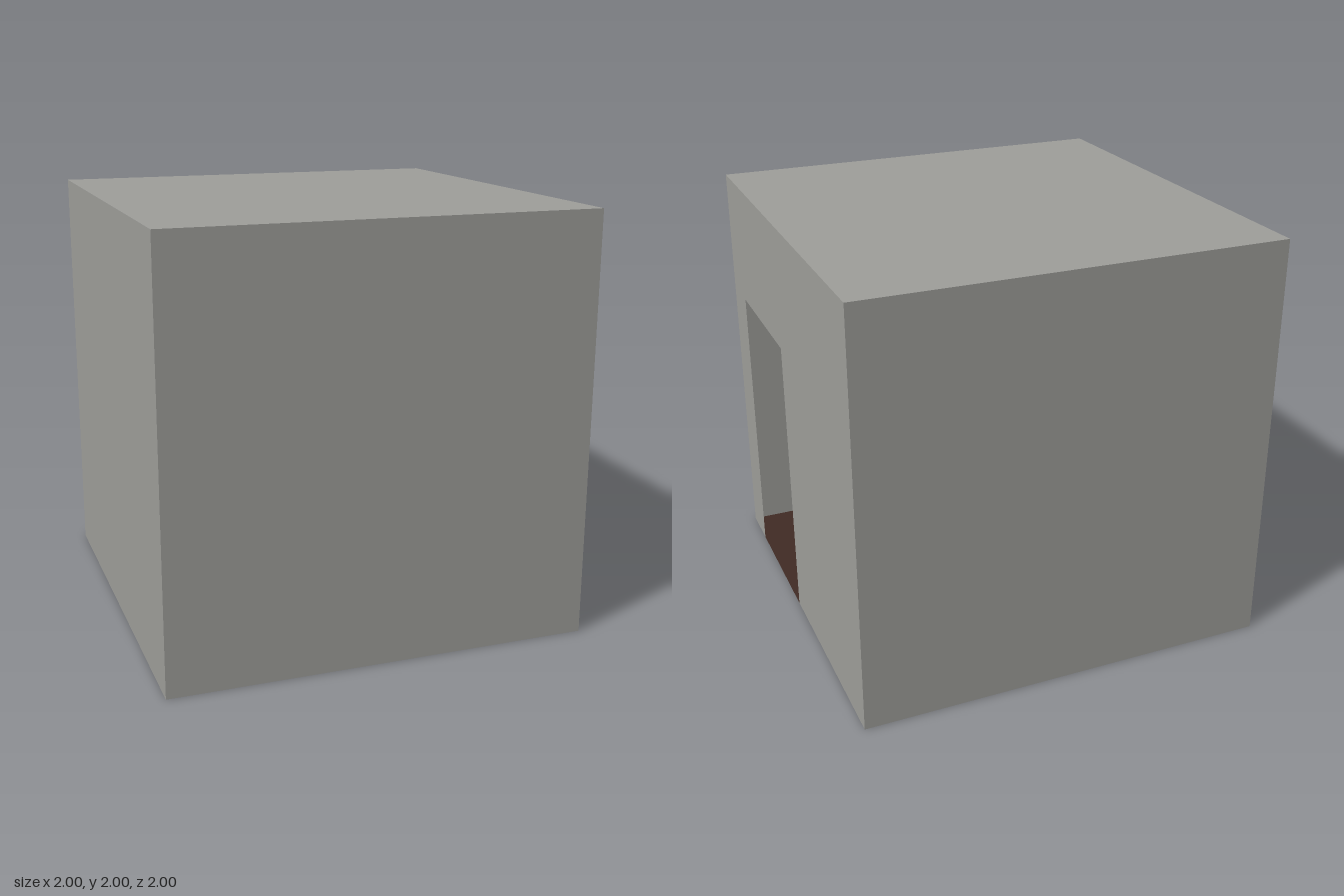
import * as THREE from 'three';

export function createModel() {
  const group = new THREE.Group();
  group.name = 'room';
  const wallMat = new THREE.MeshStandardMaterial({ color: 0x9e9e9a, side: THREE.DoubleSide });
  wallMat.name = 'grey plaster';
  const floorMat = new THREE.MeshStandardMaterial({ color: 0x402b24, side: THREE.DoubleSide });
  floorMat.name = 'dark brown floor';

  // Thin panel facing outwards
  const panel = (name, geometry, material, position, rotation) => {
    const mesh = new THREE.Mesh(geometry, material);
    mesh.name = name;
    mesh.position.set(...position);
    mesh.rotation.set(...rotation);
    group.add(mesh);
  };
  const square = new THREE.PlaneGeometry(2, 2);
  const q = Math.PI / 2;

  panel('frontWall', square, wallMat, [0, 1, 1], [0, 0, 0]);
  panel('backWall', square, wallMat, [0, 1, -1], [0, 2 * q, 0]);
  panel('rightWall', square, wallMat, [-1, 1, 0], [0, -q, 0]);
  panel('ceiling', square, wallMat, [0, 2, 0], [-q, 0, 0]);
  panel('floor', square, floorMat, [0, 0, 0], [q, 0, 0]);

  // Wall with the doorway; shape x runs along -z once turned
  const doorFront = -0.775, doorBack = -0.07, doorTop = 1.405;
  const outline = new THREE.Shape([
    [-1, 0], [doorFront, 0], [doorFront, doorTop], [doorBack, doorTop],
    [doorBack, 0], [1, 0], [1, 2], [-1, 2],
  ].map(([x, y]) => new THREE.Vector2(x, y)));
  panel('doorwayWall', new THREE.ShapeGeometry(outline), wallMat, [1, 0, 0], [0, q, 0]);

  return group;
}
